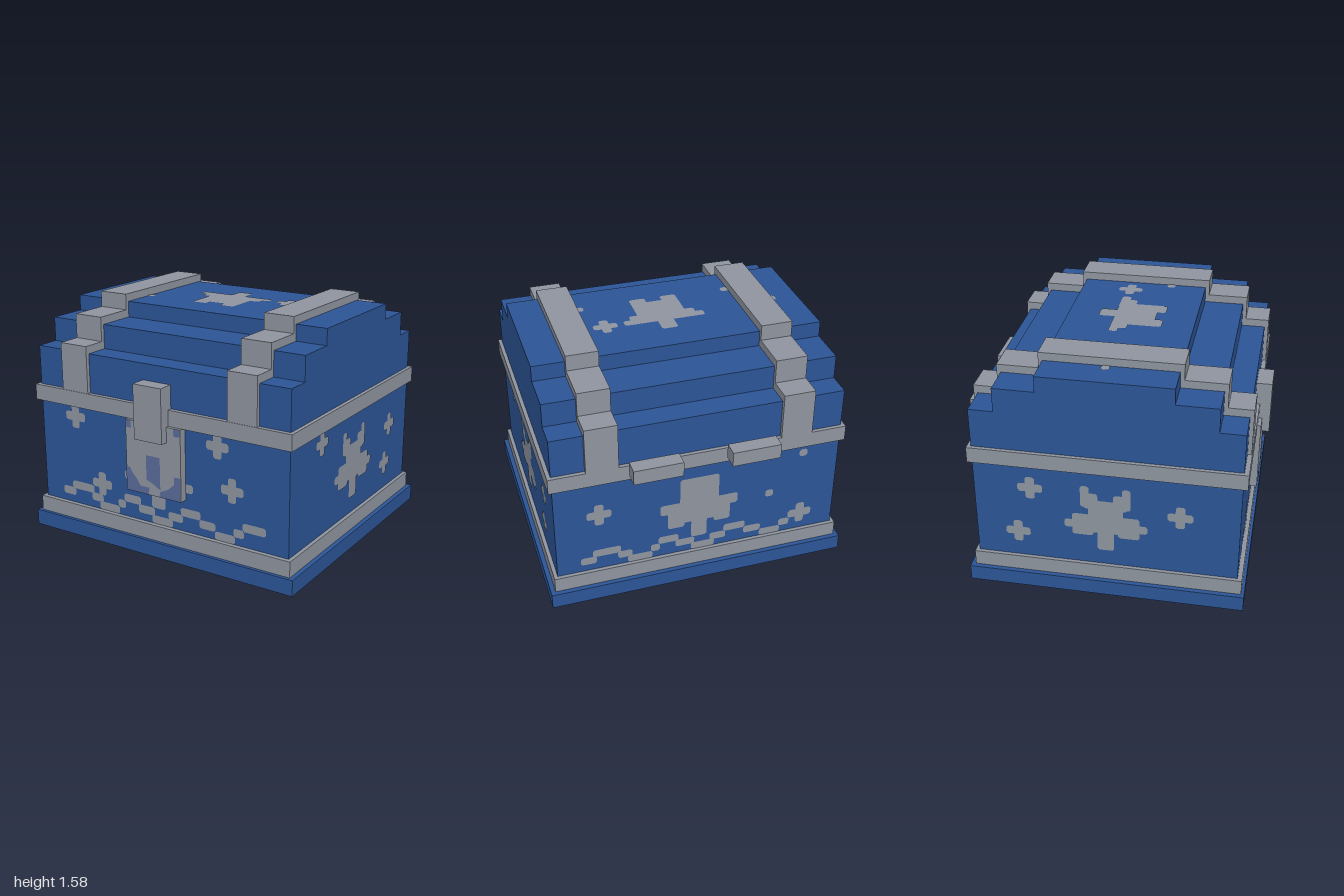
import * as THREE from 'three';
import { mergeGeometries } from 'three/addons/utils/BufferGeometryUtils.js';

const mat = (name, color, side = THREE.FrontSide) => {
  const m = new THREE.MeshStandardMaterial({ color, side });
  m.name = name;
  return m;
};

// Rectangle with small cut corners
function chip(x0, x1, y0, y1, c = 0.012) {
  return new THREE.ShapeGeometry(new THREE.Shape([
    [x0 + c, y0], [x1 - c, y0], [x1, y0 + c], [x1, y1 - c],
    [x1 - c, y1], [x0 + c, y1], [x0, y1 - c], [x0, y0 + c],
  ].map(p => new THREE.Vector2(...p))));
}
const plus = (x, y) => [[x - 0.08, x + 0.08, y - 0.03, y + 0.03], [x - 0.03, x + 0.03, y - 0.08, y + 0.08]];
const dot = (x, y) => [[x - 0.027, x + 0.027, y - 0.027, y + 0.027]];

// Painted patterns as rectangles: x0, x1, y0, y1
const sideStar = [
  [-0.16, -0.105, 0.64, 0.795], [0.105, 0.16, 0.64, 0.795],
  [-0.14, -0.05, 0.63, 0.745], [0.05, 0.14, 0.63, 0.745],
  [-0.11, 0.11, 0.45, 0.695], [-0.215, 0.215, 0.475, 0.585], [-0.265, 0.265, 0.475, 0.535],
  [-0.215, -0.08, 0.425, 0.52], [0.08, 0.215, 0.425, 0.52], [-0.053, 0.053, 0.32, 0.5],
];
const backStar = [
  [-0.13, 0.13, 0.45, 0.8], [-0.26, 0.26, 0.54, 0.62], [-0.21, 0.21, 0.48, 0.6],
  [-0.21, -0.1, 0.42, 0.55], [0.1, 0.21, 0.42, 0.55], [-0.053, 0.053, 0.32, 0.5],
];
const topStar = [
  [-0.053, 0.053, 0.05, 0.19], [-0.27, 0.27, 0.025, 0.085], [-0.22, 0.22, -0.025, 0.07],
  [-0.16, 0.16, -0.185, 0.06], [-0.16, -0.053, -0.24, -0.1], [0.053, 0.16, -0.24, -0.1],
];
const vine = [
  [-0.79, -0.685, 0], [-0.71, -0.525, 1], [-0.545, -0.45, 0], [-0.48, -0.315, -1], [-0.325, -0.265, 0],
  [-0.275, -0.14, 1], [-0.16, -0.03, 0], [-0.053, 0.107, -1], [0.075, 0.185, 0], [0.17, 0.32, 1],
  [0.31, 0.43, 0], [0.425, 0.57, -1], [0.56, 0.635, 0], [0.625, 0.79, 1],
].map(([a, b, k]) => [a, b, 0.262 + k * 0.05, 0.318 + k * 0.05]);

export function createModel() {
  const root = new THREE.Group();
  root.name = 'chest';
  const blue = mat('blue', 0x2b5496);
  const blueOpen = blue;
  blueOpen.side = THREE.DoubleSide;
  const grey = mat('grey', 0x8e949e);
  const slate = mat('slate', 0x5b6b98);

  const add = (name, geo, material) => {
    const mesh = new THREE.Mesh(geo, material);
    mesh.name = name;
    root.add(mesh);
    return mesh;
  };
  const block = (name, x0, x1, y0, y1, z0, z1, material) =>
    add(name, new THREE.BoxGeometry(x1 - x0, y1 - y0, z1 - z0), material)
      .position.set((x0 + x1) / 2, (y0 + y1) / 2, (z0 + z1) / 2);
  const paint = (name, rects, pos, rx, ry) => {
    const mesh = add(name, mergeGeometries(rects.map(r => chip(...r))), grey);
    mesh.position.set(...pos);
    mesh.rotation.set(rx, ry, 0);
  };

  // Plinth, open underneath: the bottom face is dropped
  const plinth = new THREE.BoxGeometry(2, 0.105, 1.79);
  const idx = Array.from(plinth.index.array);
  idx.splice(18, 6);
  plinth.setIndex(idx);
  plinth.clearGroups();
  add('plinth', plinth, blueOpen).position.set(0, 0.0525, 0.025);

  // Body and its two grey bands
  block('lowerBand', -0.97, 0.97, 0.106, 0.21, -0.84, 0.9, grey);
  block('body', -0.945, 0.945, 0.21, 0.9, -0.815, 0.87, blue);
  block('upperBand', -0.97, 0.97, 0.9, 1.005, -0.84, 0.9, grey);

  // Stepped lid with two straps following it
  const steps = [[0.87, -0.815, 1.265], [0.712, -0.657, 1.425], [0.447, -0.393, 1.53]];
  const stepped = (grow, lift, y0, width) => {
    const front = [], back = [];
    let y = y0;
    for (const [zf, zb, top] of steps) {
      front.push([zf + grow, y], [zf + grow, top + lift]);
      back.unshift([zb - grow, top + lift], [zb - grow, y]);
      y = top + lift;
    }
    const shape = new THREE.Shape([...front, ...back].map(([z, h]) => new THREE.Vector2(-z, h)));
    return new THREE.ExtrudeGeometry(shape, { depth: width, bevelEnabled: false })
      .translate(0, 0, -width / 2).rotateY(Math.PI / 2);
  };
  add('lid', stepped(0, 0, 1.0, 1.89), blue);
  for (const s of [1, -1]) {
    add(s > 0 ? 'leftStrap' : 'rightStrap', stepped(0.026, 0.052, 1.0, 0.207), grey).position.x = s * 0.632;
    block(s > 0 ? 'leftHinge' : 'rightHinge', s * 0.315 - 0.158, s * 0.315 + 0.158, 0.955, 1.055, -0.97, -0.87, grey);
  }

  // Lock plate, latch and the darker painted areas on the plate
  block('lockPlate', -0.21, 0.208, 0.425, 0.9, 0.865, 0.922, grey);
  block('latch', -0.105, 0.105, 0.8, 1.158, 0.87, 0.973, grey);
  const patches = [
    [[-0.21, 0.427], [-0.04, 0.427], [-0.03, 0.475], [-0.1, 0.475], [-0.13, 0.52], [-0.16, 0.55], [-0.18, 0.585], [-0.21, 0.585]],
    [[0.045, 0.427], [0.208, 0.427], [0.208, 0.585], [0.16, 0.585], [0.16, 0.535], [0.11, 0.49], [0.053, 0.465]],
    [[-0.053, 0.525], [-0.01, 0.51], [0.053, 0.475], [0.053, 0.69], [-0.053, 0.69]],
    [[-0.21, 0.86], [-0.2, 0.85], [-0.165, 0.85], [-0.165, 0.9], [-0.21, 0.9]],
    [[0.16, 0.85], [0.195, 0.85], [0.208, 0.86], [0.208, 0.9], [0.16, 0.9]],
  ].map(p => new THREE.Shape(p.map(q => new THREE.Vector2(...q))));
  add('lockPatches', new THREE.ShapeGeometry(patches), slate).position.z = 0.926;

  // Painted ornaments on each face
  const H = Math.PI / 2;
  paint('frontOrnament', [...vine, ...plus(-0.66, 0.825), ...plus(0.445, 0.825), ...plus(0.55, 0.56),
    ...plus(-0.455, 0.395), [-0.265, 0.265, 0.475, 0.533], [-0.053, 0.053, 0.32, 0.5]], [0, 0, 0.874], 0, 0);
  paint('backOrnament', [...vine, ...backStar, ...plus(-0.66, 0.65), ...plus(0.71, 0.345),
    ...dot(0.7, 0.84), ...dot(0.48, 0.56)], [0, 0, -0.819], 0, Math.PI);
  paint('leftOrnament', [...sideStar, ...plus(-0.45, 0.82), ...plus(0.553, 0.663), ...plus(0.5, 0.397)],
    [0.949, 0, 0.028], 0, H);
  paint('rightOrnament', [...sideStar, ...plus(-0.48, 0.74), ...plus(0.47, 0.63), ...plus(-0.57, 0.4)],
    [-0.949, 0, 0.028], 0, -H);
  paint('topOrnament', [...topStar, ...plus(0.395, 0.055), ...dot(-0.765, 0), ...dot(-0.505, -0.212),
    ...dot(0.503, -0.212)], [0, 1.534, 0], -H, 0);
  return root;
}
